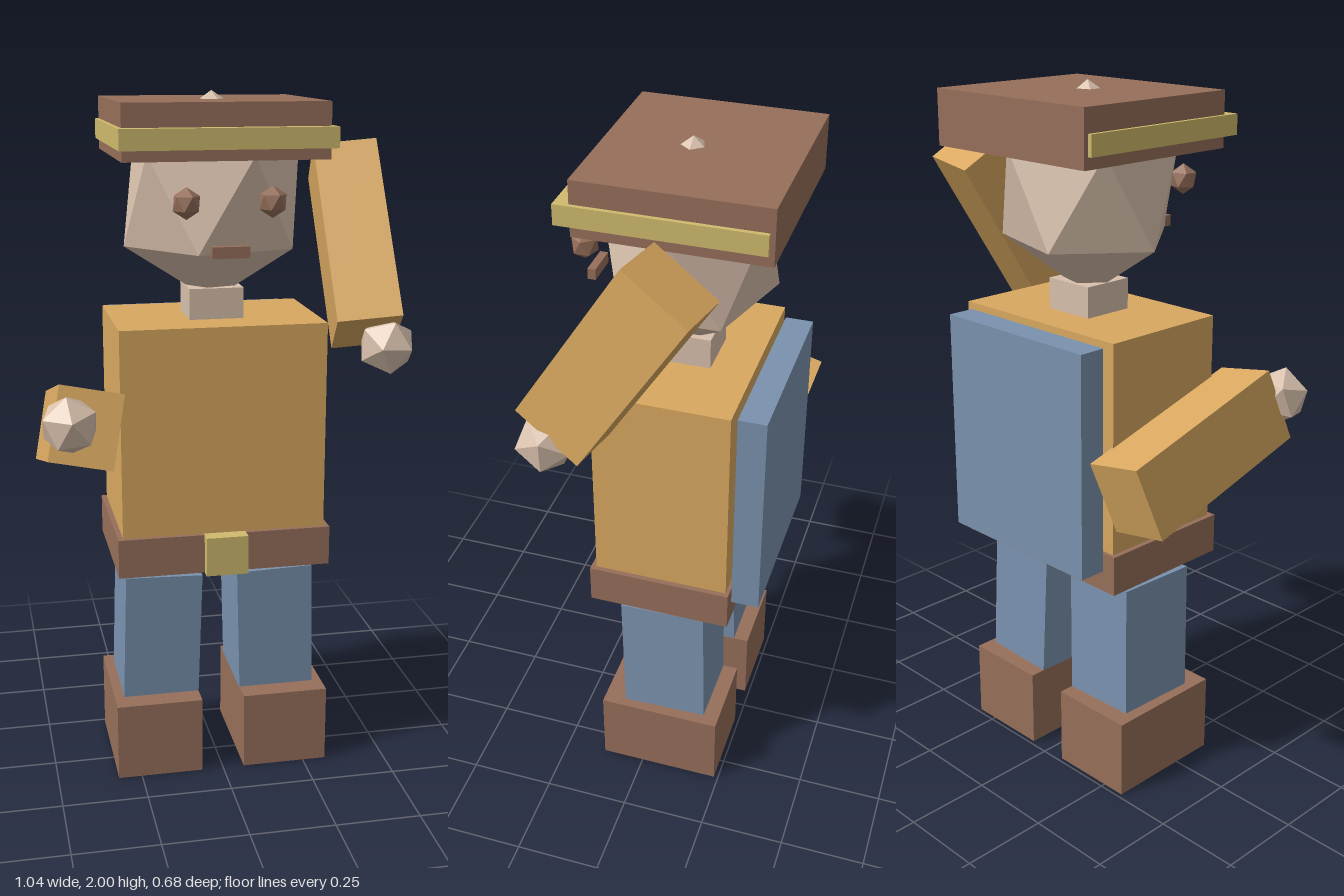
import * as THREE from 'three';

const mat = (name, color) => {
  const m = new THREE.MeshStandardMaterial({ color, flatShading: true });
  m.name = name;
  return m;
};

export function createModel() {
  const tan = mat('tan cloth', 0xd9a860);
  const brown = mat('brown leather', 0x966f5a);
  const blue = mat('blue cloth', 0x7a92ae);
  const gold = mat('gold trim', 0xcfba6c);
  const skin = mat('skin', 0xd8c0ac);

  const model = new THREE.Group();
  model.name = 'blockFigure';

  const add = (name, geometry, material, parent = model) => {
    const mesh = new THREE.Mesh(geometry, material);
    mesh.name = name;
    parent.add(mesh);
    return mesh;
  };

  // Box given by its limits on each axis
  const block = (name, material, [x0, x1], [y0, y1], [z0, z1]) => {
    const mesh = add(name, new THREE.BoxGeometry(x1 - x0, y1 - y0, z1 - z0), material);
    mesh.position.set((x0 + x1) / 2, (y0 + y1) / 2, (z0 + z1) / 2);
    return mesh;
  };

  // Icosahedron turned so that one corner points straight up
  const gem = (rx, ry = rx, rz = rx) =>
    new THREE.IcosahedronGeometry(1, 0)
      .rotateZ(-Math.atan(2 / (1 + Math.sqrt(5))))
      .scale(rx, ry, rz);

  // Torso, belt and back panel
  block('torso', tan, [-0.295, 0.295], [0.72, 1.372], [-0.25, 0.138]);
  block('belt', brown, [-0.31, 0.31], [0.655, 0.77], [-0.26, 0.153]);
  block('buckle', gold, [-0.061, 0.061], [0.655, 0.77], [0.14, 0.184]);
  block('backPanel', blue, [-0.267, 0.267], [0.715, 1.356], [-0.34, -0.26]);

  // Head, its top corner just pokes through the hat
  block('neck', skin, [-0.078, 0.078], [1.365, 1.46], [-0.132, 0.022]);
  add('head', gem(0.282, 0.294, 0.259), skin).position.set(0, 1.706, -0.056);
  block('mouth', brown, [-0.051, 0.051], [1.574, 1.605], [0.2, 0.223]);

  // Hat
  block('hat', brown, [-0.283, 0.283], [1.825, 1.977], [-0.34, 0.173]);
  block('hatBand', gold, [-0.295, 0.295], [1.857, 1.913], [-0.327, 0.213]);

  for (const side of [-1, 1]) {
    const label = side > 0 ? 'left' : 'right';

    // Eye
    add(label + 'Eye', gem(0.041, 0.043, 0.039), brown).position.set(side * 0.117, 1.719, 0.2);

    // Leg, slightly splayed, standing on a boot
    const leg = add(label + 'Leg', new THREE.BoxGeometry(0.228, 0.386, 0.253), blue);
    leg.position.set(side * 0.172, 0.427, -0.06);
    leg.rotation.set(0.026, 0, side * 0.03);
    const boot = side > 0 ? [0.064, 0.32] : [-0.32, -0.064];
    block(label + 'Boot', brown, boot, [0, 0.234], [-0.237, 0.127]);
  }

  // Arm: "across" is its width direction, "up" points from hand to shoulder
  const arm = (label, side, centre, across, up) => {
    const group = new THREE.Group();
    group.name = label + 'Arm';
    const x = new THREE.Vector3(...across).normalize();
    const z = new THREE.Vector3().crossVectors(x, new THREE.Vector3(...up)).normalize();
    const y = new THREE.Vector3().crossVectors(z, x);
    group.quaternion.setFromRotationMatrix(new THREE.Matrix4().makeBasis(x, y, z));
    group.position.set(...centre);
    add(label + 'Sleeve', new THREE.BoxGeometry(0.181, 0.54, 0.212), tan, group);
    add(label + 'Hand', gem(0.084), skin, group).position.set(side * 0.05, -0.315, 0);
    model.add(group);
  };
  arm('left', 1, [0.398, 1.575, 0.025], [0.175, 0.016, 0.025], [-0.003, 0.452, -0.291]);
  arm('right', -1, [-0.398, 1.051, -0.046], [0.18, -0.035, 0.0095], [0, -0.148, -0.521]);

  return model;
}
